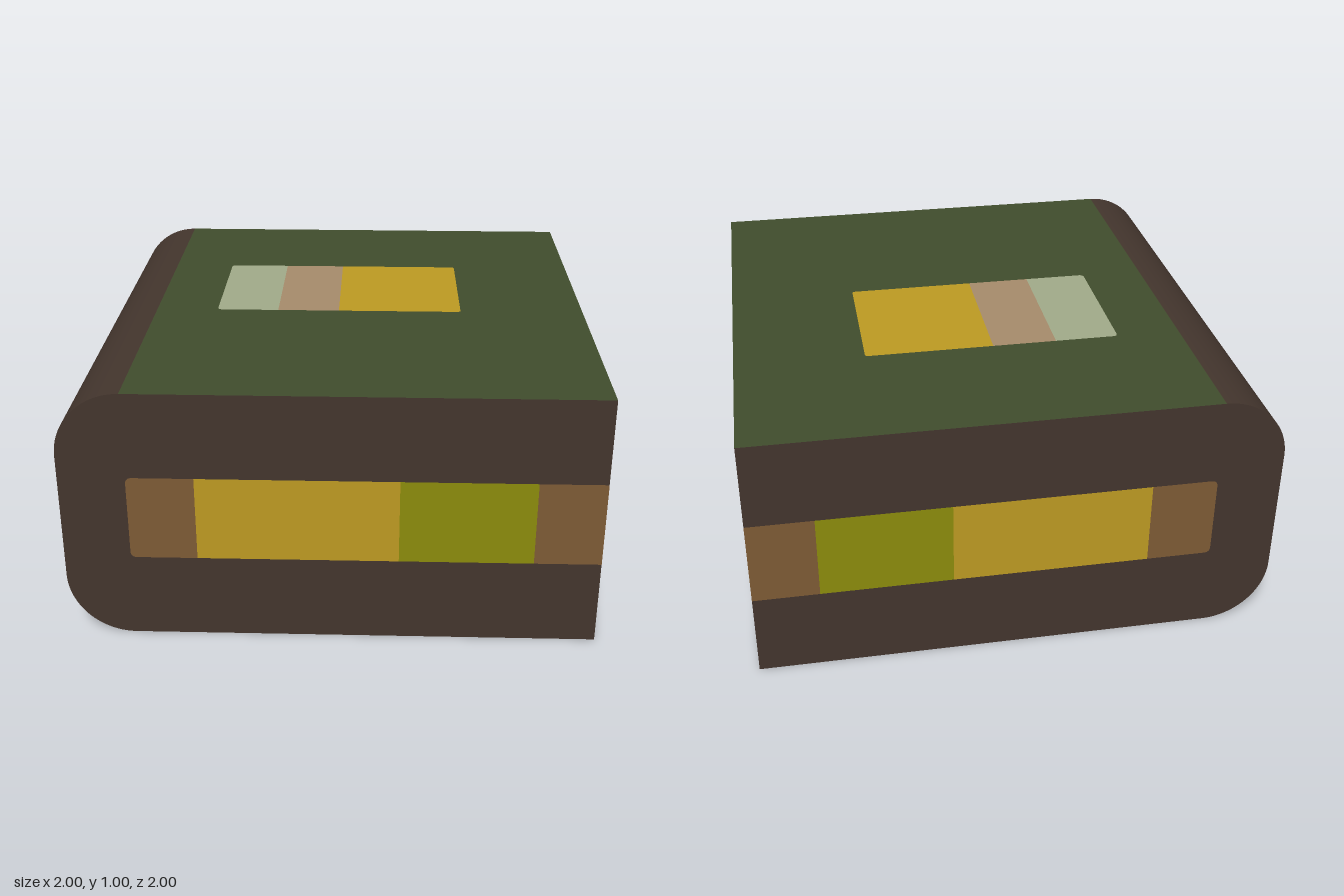
import * as THREE from 'three';

const mat = (name, color) => {
  const m = new THREE.MeshStandardMaterial({ color });
  m.name = name;
  return m;
};

// Rectangle with separate corner radii for its left and right ends
function rect(u0, u1, v0, v1, rl = 0, rr = 0) {
  const s = new THREE.Shape();
  s.moveTo(u0 + rl, v0);
  s.lineTo(u1 - rr, v0);
  if (rr) s.quadraticCurveTo(u1, v0, u1, v0 + rr);
  s.lineTo(u1, v1 - rr);
  if (rr) s.quadraticCurveTo(u1, v1, u1 - rr, v1);
  s.lineTo(u0 + rl, v1);
  if (rl) s.quadraticCurveTo(u0, v1, u0, v1 - rl);
  s.lineTo(u0, v0 + rl);
  if (rl) s.quadraticCurveTo(u0, v0, u0 + rl, v0);
  return s;
}

export function createModel() {
  const M = {
    bark: mat('dark brown', 0x43352d),
    moss: mat('dark green', 0x404d2d),
    gold: mat('gold', 0xbc9922),
    olive: mat('olive', 0x8b8b0c),
    wood: mat('brown', 0x7d5a35),
    sage: mat('sage', 0xa0a988),
    tan: mat('tan', 0xa58b6b),
  };
  const R = 0.25; // radius of the rounded edges
  const model = new THREE.Group();
  model.name = 'roundedBlock';

  // One side of the block: a flat base and thin painted plates just above it
  function face(name, pos, rot, base, baseMat, plates = []) {
    const g = new THREE.Group();
    g.name = name;
    g.position.set(...pos);
    g.rotation.set(...rot);
    const add = (part, shape, m, lift) => {
      const mesh = new THREE.Mesh(new THREE.ShapeGeometry(shape, 16), m);
      mesh.name = part;
      mesh.position.z = lift;
      g.add(mesh);
    };
    add(name + 'Base', base, baseMat, 0);
    plates.forEach(([m, ...r]) => add(m.name + ' plate', rect(...r), m, 0.002));
    model.add(g);
  }

  // End profile, rounded at -x
  const profile = new THREE.Shape();
  profile.moveTo(-1 + R, 0);
  profile.lineTo(1, 0);
  profile.lineTo(1, 1);
  profile.lineTo(-1 + R, 1);
  profile.absarc(-1 + R, 1 - R, R, Math.PI / 2, Math.PI, false);
  profile.lineTo(-1, R);
  profile.absarc(-1 + R, R, R, Math.PI, Math.PI * 1.5, false);

  // The back profile is mirrored, since it is turned to face -z
  const backProfile = new THREE.Shape(
    profile.getPoints(16).map((p) => new THREE.Vector2(-p.x, p.y)).reverse());

  // Front and back bands
  const y0 = 1 / 3, y1 = 2 / 3, c = 0.025;
  const band = [
    [M.wood, -0.75, -0.5], [M.gold, -0.5, 0.25], [M.olive, 0.25, 0.75], [M.wood, 0.75, 1],
  ];
  face('front', [0, 0, 1], [0, 0, 0], profile, M.bark,
    band.map(([m, a, b], i) => [m, a, b, y0, y1, i ? 0 : c, 0]));
  face('back', [0, 0, -1], [0, Math.PI, 0], backProfile, M.bark,
    band.map(([m, a, b], i) => [m, -b, -a, y0, y1, 0, i ? 0 : c]));

  // Square side at +x with a full-width band
  face('leftSide', [1, 0, 0], [0, Math.PI / 2, 0], rect(-1, 1, 0, 1), M.moss, [
    [M.olive, -1, -0.714, y0, y1],
    [M.gold, -0.714, -0.143, y0, y1],
    [M.tan, -0.143, 0.143, y0, y1],
    [M.sage, 0.143, 1, y0, y1],
  ]);

  // Flat part of the rounded side at -x with one panel
  face('rightSide', [-1, 0, 0], [0, -Math.PI / 2, 0], rect(-1, 1, R, 1 - R), M.bark, [
    [M.wood, -0.6, 0.2, 0.255, 0.745, 0.03, 0.03],
  ]);

  // Top with a three-colour label, and plain bottom
  face('top', [0, 1, 0], [-Math.PI / 2, 0, 0], rect(-1 + R, 1, -1, 1), M.moss, [
    [M.sage, -0.5, -0.25, -0.143, 0.43, 0.02, 0],
    [M.tan, -0.25, 0, -0.143, 0.43],
    [M.gold, 0, 0.5, -0.143, 0.43, 0, 0.015],
  ]);
  face('bottom', [0, 0, 0], [Math.PI / 2, 0, 0], rect(-1 + R, 1, -1, 1), M.moss);

  // Rounded edges
  [['upperEdge', 1 - R, Math.PI], ['lowerEdge', R, Math.PI * 1.5]].forEach(([name, y, start]) => {
    const geo = new THREE.CylinderGeometry(R, R, 2, 16, 1, true, start, Math.PI / 2);
    geo.rotateX(Math.PI / 2);
    const edge = new THREE.Mesh(geo, M.bark);
    edge.name = name;
    edge.position.set(-1 + R, y, 0);
    model.add(edge);
  });

  return model;
}
